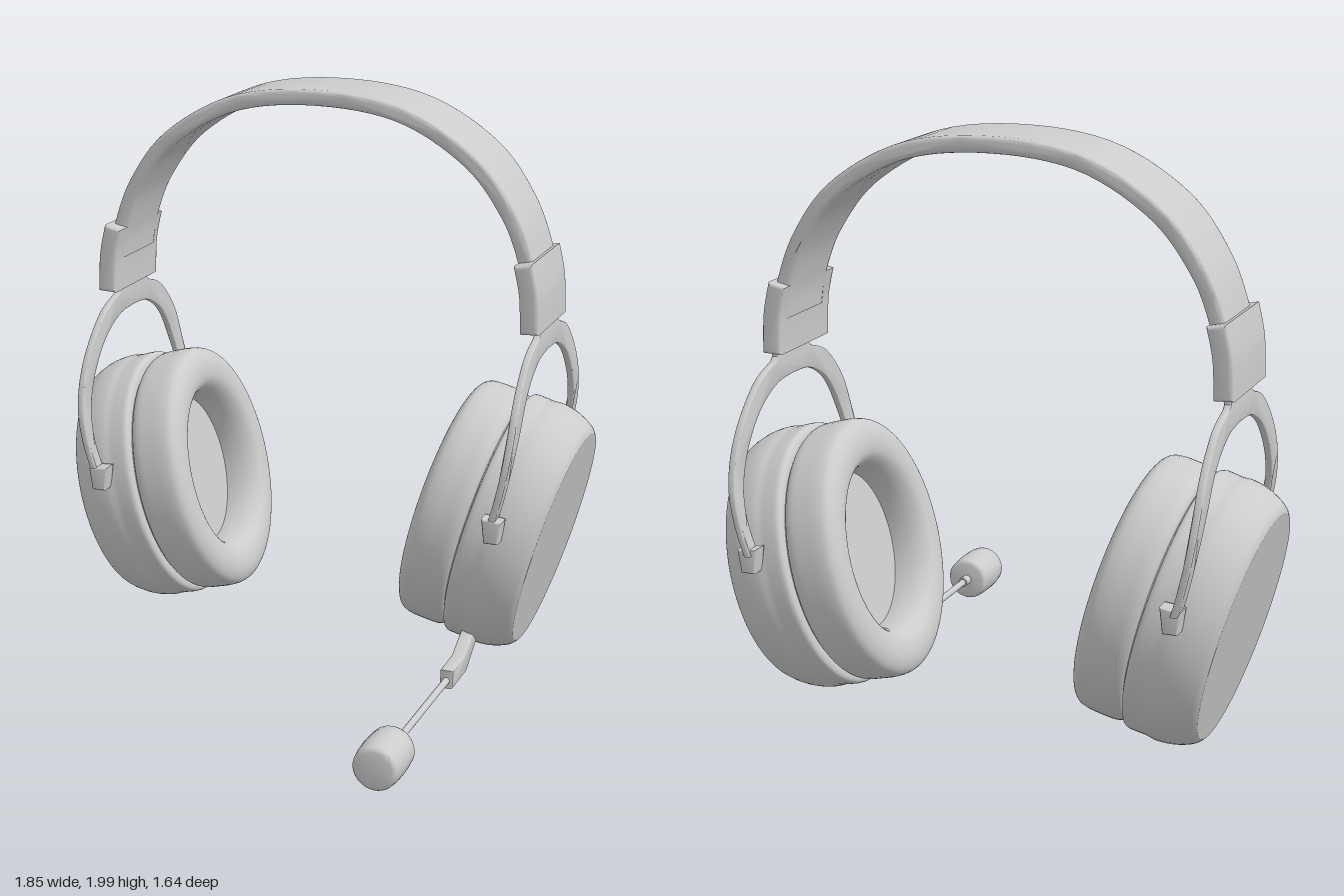
import * as THREE from 'three';
import { toCreasedNormals } from 'three/addons/utils/BufferGeometryUtils.js';

const V2 = (a) => a.map(([x, y]) => new THREE.Vector2(x, y));
const spline = (a, n) => new THREE.SplineCurve(V2(a)).getPoints(n);
const material = new THREE.MeshStandardMaterial({ color: 0xcccccc, side: THREE.DoubleSide });

function add(parent, name, geometry, x = 0, y = 0, z = 0) {
  const mesh = new THREE.Mesh(geometry, material);
  mesh.name = name;
  mesh.position.set(x, y, z);
  parent.add(mesh);
  return mesh;
}

// Outline extruded along z, centred, with a soft bevel inside the outline
function slab(points, depth, bevel) {
  const g = new THREE.ExtrudeGeometry(new THREE.Shape(points), {
    depth: depth - 2 * bevel, bevelThickness: bevel, bevelSize: bevel,
    bevelOffset: -bevel, bevelSegments: 3,
  });
  return g.translate(0, 0, bevel - depth / 2);
}

// Outline of a strip of constant thickness around a curve
function stripOutline(points, thickness, n) {
  const curve = new THREE.SplineCurve(V2(points));
  const a = [], b = [];
  for (let i = 0; i <= n; i++) {
    const p = curve.getPoint(i / n), t = curve.getTangent(i / n);
    const off = new THREE.Vector2(-t.y, t.x).multiplyScalar(thickness / 2);
    a.push(p.clone().add(off));
    b.push(p.clone().sub(off));
  }
  return a.concat(b.reverse());
}

// Move every vertex by a rule
function warp(g, rule) {
  const p = g.attributes.position, v = new THREE.Vector3();
  for (let i = 0; i < p.count; i++) {
    rule(v.fromBufferAttribute(p, i));
    p.setXYZ(i, v.x, v.y, v.z);
  }
  return g;
}

function headbandGeometry() {
  const half = [[0.3, 1.935], [0.54, 1.8], [0.675, 1.63], [0.74, 1.47], [0.76, 1.36]];
  const path = [...half.map(([x, y]) => [-x, y]).reverse(), [0, 1.973], ...half];
  const g = slab(stripOutline(path, 0.054, 64), 0.29, 0.014);
  // the band narrows towards its ends
  warp(g, (v) => { v.z *= 1 - 0.09 * THREE.MathUtils.smoothstep(1.85 - v.y, 0, 0.35); });
  return toCreasedNormals(g, 0.6);
}

// Fork with a short neck, bent inwards towards the cup
function yokeGeometry() {
  const outer = spline([[0.435, 0.64], [0.44, 0.77], [0.425, 0.89], [0.36, 1.04], [0.24, 1.165], [0.125, 1.212]], 28);
  const inner = spline([[0.38, 0.64], [0.383, 0.8], [0.33, 0.945], [0.24, 1.066], [0.12, 1.133], [0, 1.146]], 28);
  outer.push(new THREE.Vector2(0.11, 1.225), new THREE.Vector2(0.11, 1.27));
  const mirror = (pts) => pts.map((p) => new THREE.Vector2(-p.x, p.y));
  const outline = [...outer, ...mirror(outer).reverse(), ...mirror(inner), ...inner.reverse().slice(1)];
  const g = slab(outline, 0.024, 0.005).rotateY(Math.PI / 2);
  warp(g, (v) => {
    const drop = Math.max(0, 0.97 - v.y);
    v.x += 0.782 - 0.004 * (v.y - 0.97) / 0.3 - 0.48 * drop * drop - 0.03 * drop;
  });
  return toCreasedNormals(g, 0.6);
}

// Oval ear cup: lathed about its own axis from the cushion face outwards
function earCup() {
  const cup = new THREE.Group();
  cup.name = 'earCup';
  const lathe = (name, pts) => add(cup, name, new THREE.LatheGeometry(pts, 72));
  lathe('speakerCover', V2([[0, 0.13], [0.285, 0.13]]));
  lathe('earCushion', spline([[0.27, 0.135], [0.272, 0.09], [0.285, 0.045], [0.312, 0.012], [0.35, 0],
    [0.395, 0.003], [0.43, 0.022], [0.442, 0.055], [0.443, 0.11], [0.44, 0.155], [0.425, 0.178], [0.405, 0.182]], 60));
  lathe('seam', V2([[0.415, 0.17], [0.415, 0.2]]));
  lathe('cupShell', spline([[0.405, 0.186], [0.435, 0.188], [0.449, 0.2], [0.45, 0.23], [0.449, 0.26],
    [0.452, 0.295], [0.446, 0.34], [0.432, 0.38], [0.412, 0.415], [0.392, 0.43]], 50));
  lathe('outerPlate', V2([[0.392, 0.43], [0, 0.43]]));
  cup.position.set(0.41, 0.58, 0);
  cup.rotation.z = THREE.MathUtils.degToRad(-105);
  cup.scale.z = 0.865;
  return cup;
}

function side(sign) {
  const g = new THREE.Group();
  g.name = sign > 0 ? 'leftSide' : 'rightSide';
  g.add(earCup());
  const shift = -0.01 * sign;

  // slider block wrapped around the end of the band
  const block = slab(stripOutline([[0.746, 1.475], [0.768, 1.37], [0.774, 1.24]], 0.066, 10), 0.35, 0.012);
  add(g, 'sliderBlock', toCreasedNormals(block, 0.6), shift, 0, 0.025 * sign);
  add(g, 'yoke', yokeGeometry(), shift, 0, -0.006 * sign);

  // pivot clips that hold the cup between the fork ends
  for (const s of [-1, 1]) {
    const clip = slab(V2([[-0.026, -0.042], [0.022, -0.042], [0.034, 0.036], [-0.036, 0.044]]), 0.06, 0.007);
    add(g, 'pivotClip', toCreasedNormals(clip, 0.6), 0.722, 0.622, s * 0.402);
    const pin = new THREE.CylinderGeometry(0.018, 0.018, 0.08, 16).rotateX(Math.PI / 2);
    add(g, 'pivotPin', pin, 0.715, 0.615, s * 0.375);
  }
  g.position.z = -0.375;
  if (sign < 0) g.rotation.y = Math.PI;
  return g;
}

function microphone() {
  const mic = new THREE.Group();
  mic.name = 'microphone';

  // cranked arm coming out of the cup
  const arm = slab(V2([[0.1, 0.06], [0.1, 0.125], [-0.03, 0.128], [-0.15, 0.19], [-0.25, 0.24],
    [-0.25, 0.18], [-0.17, 0.137], [-0.055, 0.062]]), 0.046, 0.007).rotateY(-Math.PI / 2);
  add(mic, 'micArm', toCreasedNormals(arm, 0.5));

  const rod = (name, r, z0, z1) => add(mic, name,
    new THREE.CylinderGeometry(r, r, z1 - z0, 20).rotateX(Math.PI / 2), 0, 0.088, (z0 + z1) / 2);
  rod('micBoom', 0.012, 0.09, 0.64);
  rod('micCollar', 0.018, 0.598, 0.645);

  // barrel-shaped foam cover
  const foam = [[0, 0.635], [0.062, 0.635], [0.071, 0.638], [0.076, 0.648], [0.079, 0.69], [0.08, 0.73],
    [0.078, 0.775], [0.074, 0.805], [0.068, 0.814], [0.058, 0.817], [0, 0.817]];
  const g = new THREE.LatheGeometry(V2(foam), 40).rotateX(Math.PI / 2);
  add(mic, 'micFoam', toCreasedNormals(g, 0.8), 0, 0.088, 0);
  mic.position.x = 0.593;
  return mic;
}

export function createModel() {
  const model = new THREE.Group();
  model.name = 'headset';
  add(model, 'headband', headbandGeometry(), -0.01, 0, -0.36);
  model.add(side(1), side(-1), microphone());
  return model;
}
